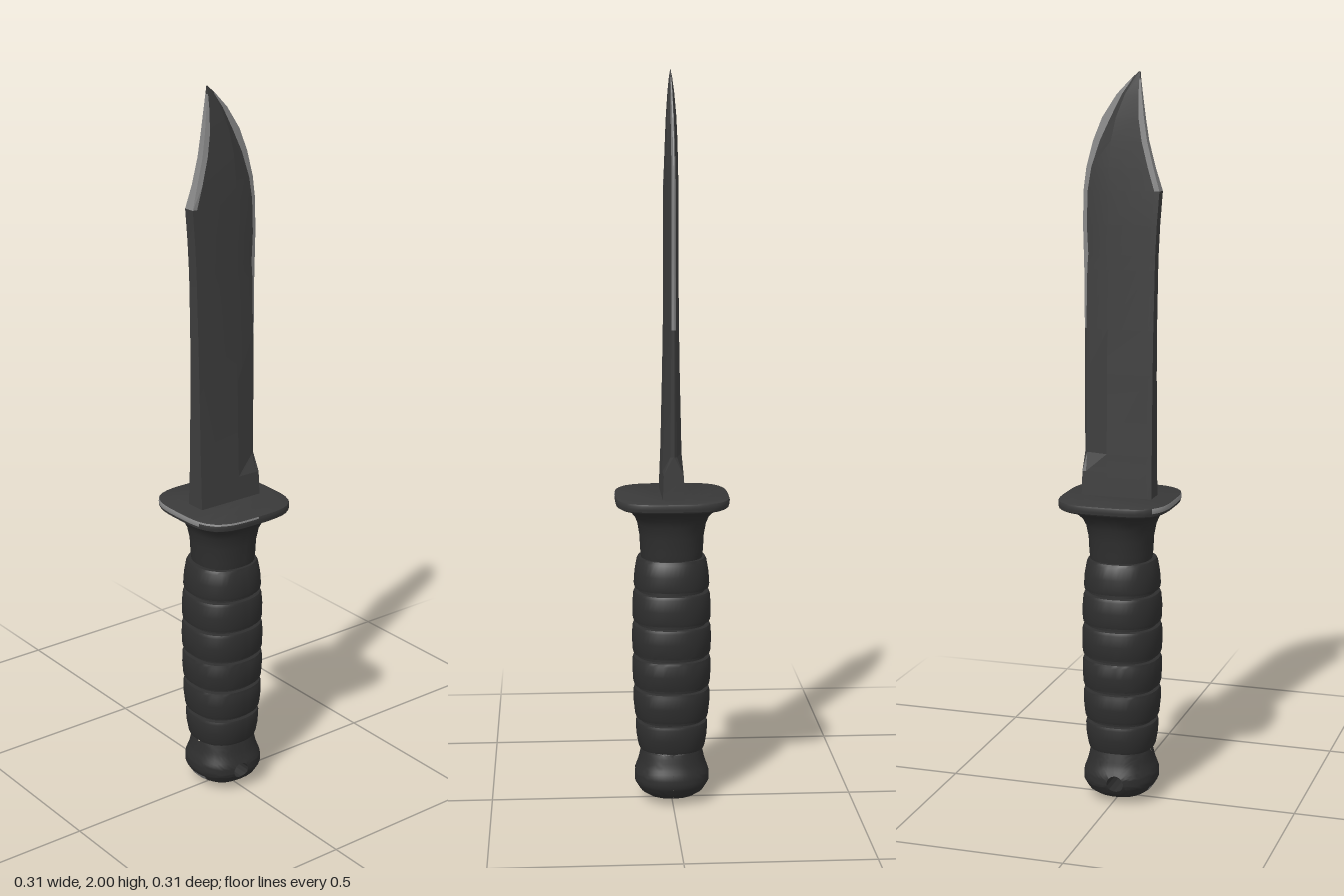
import * as THREE from 'three';
import { toCreasedNormals } from 'three/addons/utils/BufferGeometryUtils.js';

const mat = (name, color) => {
  const m = new THREE.MeshStandardMaterial({ color });
  m.name = name;
  return m;
};

// Skins closed rings of equal length; strips chosen by isWorn use the second material.
function loft(rings, { cap = false, crease = 0.6, isWorn = () => false } = {}) {
  const n = rings[0].length, main = [], worn = [];
  for (let i = 0; i < rings.length - 1; i++) {
    for (let j = 0; j < n; j++) {
      const a = i * n + j, b = i * n + (j + 1) % n;
      (isWorn(i, j) ? worn : main).push(a, a + n, b, b, a + n, b + n);
    }
  }
  if (cap) {
    const top = (rings.length - 1) * n;
    for (let j = 1; j < n - 1; j++) {
      main.push(0, j, j + 1, top, top + j + 1, top + j);
    }
  }
  const g = new THREE.BufferGeometry();
  g.setAttribute('position', new THREE.Float32BufferAttribute(rings.flat(2), 3));
  g.setIndex([...main, ...worn]);
  g.addGroup(0, main.length, 0);
  if (worn.length) g.addGroup(main.length, worn.length, 1);
  return toCreasedNormals(g, crease);
}

// Rounded-square ring: radius r, squareness p (2 is a circle).
function ring(y, r, p, cx = 0, n = 48) {
  return Array.from({ length: n }, (_, j) => {
    const a = (j / n) * Math.PI * 2, c = Math.cos(a), s = Math.sin(a);
    const k = r / Math.pow(Math.abs(c) ** p + Math.abs(s) ** p, 1 / p);
    return [cx + c * k, y, s * k];
  });
}

// Linear interpolation through [key, value] pairs.
function sample(table, t) {
  let i = 1;
  while (i < table.length - 1 && t > table[i][0]) i++;
  const [a, va] = table[i - 1], [b, vb] = table[i];
  return va + (vb - va) * THREE.MathUtils.clamp((t - a) / (b - a), 0, 1);
}

// Clip-point blade: rows of height, spine x, edge x, half thickness, edge bevel width.
function bladeGeometry() {
  const rows = [
    [0.85, -0.097, 0.102, 0.03, 0.01], [0.93, -0.096, 0.1, 0.027, 0.01],
    [0.98, -0.096, 0.1, 0.025, 0.008], [1.2, -0.096, 0.1, 0.02, 0.006],
    [1.32, -0.097, 0.1, 0.018, 0.006], [1.48, -0.1, 0.101, 0.0165, 0.01],
    [1.52, -0.101, 0.102, 0.0165, 0.014], [1.6, -0.105, 0.104, 0.0165, 0.012],
    [1.69, -0.112, 0.102, 0.0165, 0.013], [1.75, -0.094, 0.094, 0.0155, 0.015],
    [1.82, -0.076, 0.075, 0.014, 0.02], [1.88, -0.067, 0.05, 0.012, 0.024],
    [1.94, -0.06, 0.01, 0.008, 0.015], [1.98, -0.056, -0.029, 0.004, 0.004],
    [2.0, -0.055, -0.053, 0.0005, 0.0005],
  ];
  const rings = rows.map(([y, xs, xe, h, bevel]) => {
    const w = xe - xs, ricasso = y < 0.95;
    const edge = ricasso ? h : 0.0015, lip = ricasso ? h : h * 0.35, back = y > 1.7 ? h * 0.75 : h;
    const half = [
      [xe, edge], [xe - bevel, lip], [xe - w * 0.35, h],
      [xs + Math.min(0.014, w * 0.12), h], [xs, back],
    ];
    return [
      ...half.map(([x, z]) => [x, y, z]),
      ...half.slice().reverse().map(([x, z]) => [x, y, -z]),
    ];
  });
  // Bare metal along the belly edge and over the clip
  const isWorn = (i, j) =>
    (i >= 4 && i <= 12 && [0, 8, 9].includes(j)) || (i >= 8 && i <= 12 && [3, 4, 5].includes(j));
  return loft(rings, { cap: true, crease: 0.2, isWorn });
}

// Pommel with a lanyard hole running through it from front to back.
function pommelGeometry() {
  const profile = [
    [0, 0], [0.004, 0.035], [0.015, 0.066], [0.03, 0.088], [0.055, 0.103],
    [0.08, 0.103], [0.11, 0.092], [0.15, 0.083],
  ];
  const cx = -0.004, hx = -0.015, hy = 0.065, hr = 0.023, n = 72, steps = 12, p = 2.3;
  const radius = (y) => sample(profile, y);
  const inside = (x, y) => y > 0 && y < 0.15 && Math.abs(x - cx) < radius(y);
  const reach = (c, s) => {
    let lo = hr, hi = 0.3;
    for (let k = 0; k < 30; k++) {
      const m = (lo + hi) / 2;
      if (inside(hx + c * m, hy + s * m)) lo = m; else hi = m;
    }
    return lo;
  };
  const face = (t, side) => Array.from({ length: n }, (_, j) => {
    const a = (-j / n) * Math.PI * 2, c = Math.cos(a), s = Math.sin(a);
    const d = hr + (reach(c, s) - hr) * t, x = hx + c * d, y = hy + s * d, r = radius(y);
    const u = Math.min(1, Math.abs(x - cx) / Math.max(r, 1e-6));
    return [x, y, side * r * Math.pow(1 - u ** p, 1 / p)];
  });
  const ts = Array.from({ length: steps + 1 }, (_, k) => 1 - (1 - k / steps) ** 2);
  const front = ts.slice().reverse().map((t) => face(t, 1));
  const back = ts.map((t) => face(t, -1));
  // Scuff low on the spine side
  const isWorn = (i, j) => (i <= 2 || i >= 2 * steps - 2) && j >= 30 && j <= 32;
  return loft([...front, ...back], { crease: 0.7, isWorn });
}

export function createModel() {
  const steel = mat('blade steel', 0x3d3d3d);
  const wornSteel = mat('worn steel', 0x888888);
  const guardSteel = mat('guard steel', 0x393939);
  const grip = mat('dark grip', 0x2e2e2e);

  const model = new THREE.Group();
  model.name = 'knife';
  const add = (name, geometry, material) => {
    const mesh = new THREE.Mesh(geometry, material);
    mesh.name = name;
    model.add(mesh);
  };

  add('blade', bladeGeometry(), [steel, wornSteel]);

  // Guard plate, its rim scuffed thinly at the front and more on the spine side
  const guardRows = [
    [0.836, 0.145], [0.841, 0.153], [0.848, 0.155], [0.857, 0.1555], [0.862, 0.154], [0.864, 0.15],
  ];
  const guardWorn = (i, j) =>
    (i === 3 && j >= 12 && j <= 29) || (i === 2 && j >= 20 && j <= 29);
  add('guard', loft(guardRows.map(([y, r]) => ring(y, r, 3.5)), { cap: true, isWorn: guardWorn }),
    [guardSteel, wornSteel]);

  // Collar flaring from the grip up to the guard
  const collarRows = [
    [0.69, 0.084, 2.3], [0.71, 0.086, 2.3], [0.75, 0.088, 2.3], [0.785, 0.094, 2.4],
    [0.805, 0.102, 2.6], [0.82, 0.115, 2.8], [0.832, 0.13, 3.1], [0.838, 0.146, 3.4],
  ];
  add('collar', loft(collarRows.map(([y, r, p]) => ring(y, r, p, -0.003)), { crease: 0.9 }), grip);

  // Swelling grip of rounded bands separated by grooves
  const swell = [
    [0.14, 0.09], [0.19, 0.097], [0.28, 0.104], [0.37, 0.107],
    [0.46, 0.108], [0.55, 0.107], [0.63, 0.103], [0.7, 0.093],
  ];
  const grooves = [0.143, 0.232, 0.325, 0.415, 0.507, 0.6, 0.695];
  const gripRows = [];
  for (let i = 0; i < grooves.length - 1; i++) {
    const a = grooves[i], b = grooves[i + 1];
    const band = [
      [a - 0.004, -0.013], [a + 0.004, -0.013], [a + 0.006, -0.002], [a + 0.014, 0],
      [(a + b) / 2, 0.001], [b - 0.014, 0], [b - 0.006, -0.003],
    ];
    for (const [y, inset] of band) gripRows.push(ring(y, sample(swell, y) + inset, 2.3, -0.006));
  }
  gripRows.push(ring(0.69, 0.08, 2.3, -0.006), ring(0.7, 0.08, 2.3, -0.006));
  add('grip', loft(gripRows, { cap: true, crease: 0.7 }), grip);

  add('pommel', pommelGeometry(), [grip, wornSteel]);
  return model;
}
